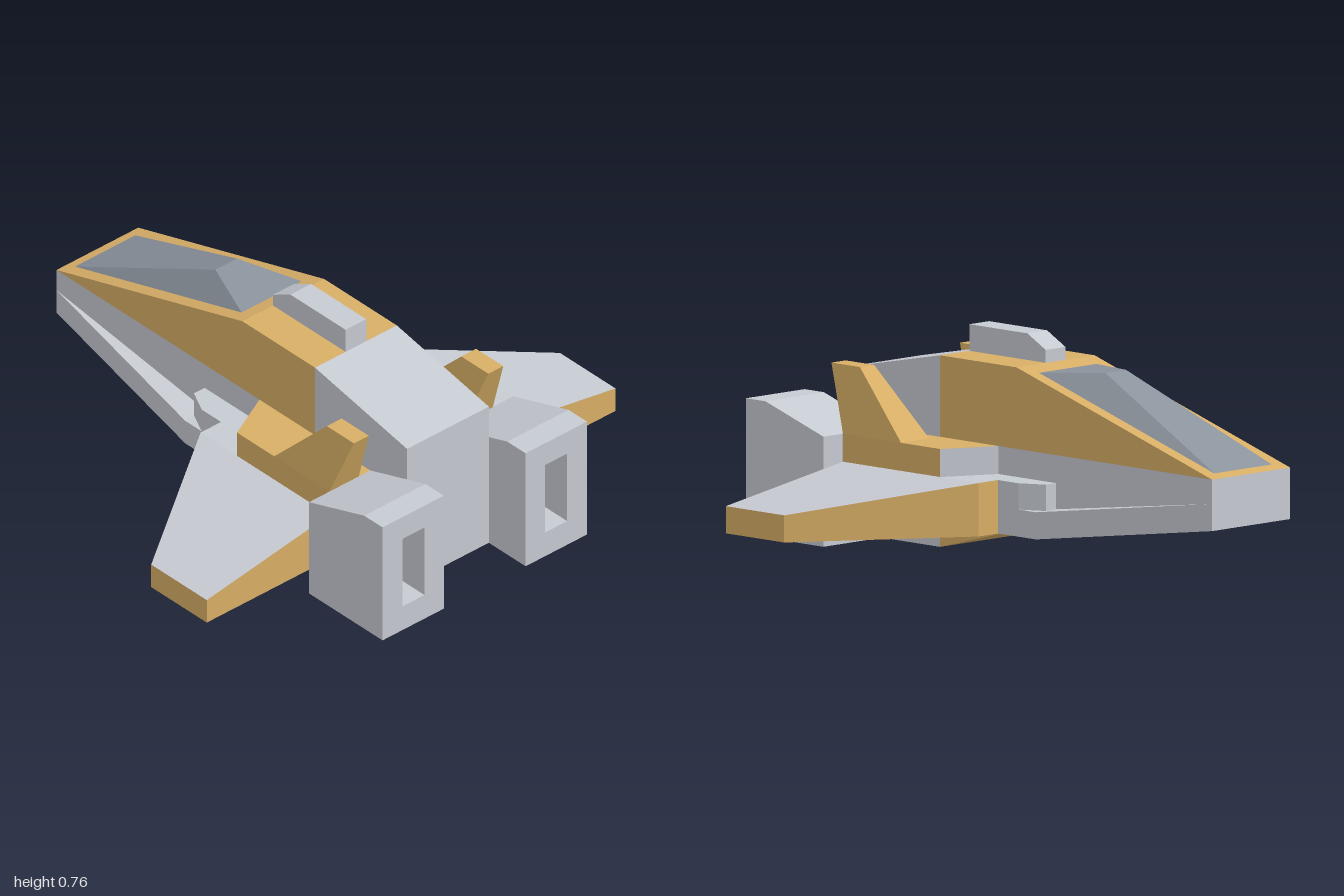
import * as THREE from 'three';

const material = (name, color) => {
  const m = new THREE.MeshStandardMaterial({ color });
  m.name = name;
  return m;
};

// Solid between two matching rings of [x, y, z] points; every face is turned outward.
// Faces are ordered: first cap, second cap, then the sides; colours may be one material or one per face.
function solid(name, ringA, ringB, colours) {
  const n = ringA.length;
  const a = ringA.map(p => new THREE.Vector3(...p));
  const b = ringB.map(p => new THREE.Vector3(...p));
  const centre = new THREE.Vector3();
  [...a, ...b].forEach(p => centre.addScaledVector(p, 1 / (2 * n)));
  const faces = [a, b];
  for (let i = 0; i < n; i++) {
    const j = (i + 1) % n;
    faces.push([a[i], a[j], b[j], b[i]]);
  }
  const geometry = new THREE.BufferGeometry();
  const points = [];
  const normal = new THREE.Vector3();
  faces.forEach((face, f) => {
    const start = points.length;
    for (let i = 1; i < face.length - 1; i++) {
      const t = [face[0], face[i], face[i + 1]];
      normal.crossVectors(t[1].clone().sub(t[0]), t[2].clone().sub(t[0]));
      if (normal.length() < 1e-9) continue;
      if (normal.dot(t[0].clone().sub(centre)) < 0) t.reverse();
      points.push(...t);
    }
    geometry.addGroup(start, points.length - start, f);
  });
  geometry.setFromPoints(points);
  geometry.computeVertexNormals();
  if (!Array.isArray(colours)) geometry.clearGroups();
  const mesh = new THREE.Mesh(geometry, colours);
  mesh.name = name;
  return mesh;
}

// Side profile of [z, y] points stretched from x0 to x1
const prism = (name, x0, x1, profile, colours) => solid(name,
  profile.map(([z, y]) => [x0, y, z]), profile.map(([z, y]) => [x1, y, z]), colours);

export function createModel() {
  const grey = material('hull grey', 0xc6cad1);
  const tan = material('panel tan', 0xd8ae66);
  const glass = material('canopy grey', 0x8b939d);
  const model = new THREE.Group();
  model.name = 'spacecraft';

  // Central fuselage
  const W = 0.19;
  const body = new THREE.Group();
  body.name = 'fuselage';
  body.add(
    prism('lowerNose', -W, W, [[-1, 0.205], [-1, 0.385], [-0.04, 0.385], [-0.04, 0.1], [-0.23, 0.1]], grey),
    prism('upperHull', -W, W, [[-1, 0.385], [-0.04, 0.67], [0.335, 0.67], [0.335, 0.385]], tan),
    prism('middleHull', -W, W, [[-0.04, 0.1], [-0.04, 0.385], [0.335, 0.385], [0.335, 0.1]], grey),
    prism('keel', -W, W, [[-0.04, 0.1], [0.335, 0.1], [0.335, 0]], tan),
    prism('rearHull', -W, W, [[0.335, 0], [0.335, 0.67], [0.81, 0.575], [0.81, 0]], grey),
    prism('dorsalBlock', -0.048, 0.048,
      [[0.335, 0.67], [0.335, 0.763], [0.05, 0.763], [-0.04, 0.715], [-0.04, 0.67]], grey)
  );
  model.add(body);

  // Faceted canopy, rising from the sloped deck to a short ridge
  const deckY = z => 0.385 + (z + 1) * 0.285 / 0.96;
  const ridge = x => [x, 0.668, -0.335];
  model.add(solid('canopy',
    [[-0.14, deckY(-0.96), -0.96], [0.14, deckY(-0.96), -0.96], [0.14, deckY(-0.1), -0.1], [-0.14, deckY(-0.1), -0.1]],
    [ridge(-0.05), ridge(0.05), ridge(0.05), ridge(-0.05)], glass));

  // Mirrored parts
  for (const [side, s] of [['left', 1], ['right', -1]]) {
    const half = new THREE.Group();
    half.name = side + 'Side';
    const flip = ring => ring.map(([x, y, z]) => [s * x, y, z]);
    const slab = (name, plan, y0, y1, colours) => half.add(solid(name,
      flip(plan.map(([x, z]) => [x, y0, z])), flip(plan.map(([x, z]) => [x, y1, z])), colours));

    // Tapered ledge along the nose and the chamfered block on it
    const ledge = [[0.19, 0.1, -0.23], [0.19, 0.205, -1], [0.285, 0.1, -0.23], [0.285, 0.1, -0.04], [0.19, 0.1, -0.04]];
    half.add(solid('noseLedge', flip(ledge), flip(ledge.map(([x, y, z]) => [x, y + 0.095, z])), grey));
    slab('cheekBlock', [[0.19, -0.235], [0.24, -0.235], [0.285, -0.145], [0.285, -0.04], [0.19, -0.04]], 0.195, 0.287, grey);

    // Wing: flat root and thinning outer panel, with tan edges
    const edged = [grey, grey, tan, tan, tan, tan];
    slab('wingRoot', [[0.19, -0.045], [0.38, -0.045], [0.38, 0.62], [0.19, 0.62]], 0.1, 0.287, edged);
    const panel = [[0.38, 0.287, -0.045], [0.95, 0.195, 0.333], [0.95, 0.195, 0.62], [0.38, 0.287, 0.62]];
    half.add(solid('wingPanel', flip(panel.map(([x, , z]) => [x, 0.1, z])), flip(panel), edged));

    // Shoulder pad over the wing root
    slab('shoulderPad', [[0.19, 0.048], [0.38, 0.143], [0.38, 0.62], [0.19, 0.62]], 0.287, 0.385,
      [grey, tan, grey, tan, grey, tan]);

    // Raked fin
    half.add(solid('fin',
      flip([[0.243, 0.385, 0.335], [0.38, 0.385, 0.335], [0.38, 0.385, 0.62], [0.243, 0.385, 0.62]]),
      flip([[0.278, 0.62, 0.57], [0.347, 0.62, 0.57], [0.347, 0.62, 0.71], [0.278, 0.62, 0.71]]), tan));

    // Engine block around an open slot
    const engine = new THREE.Group();
    engine.name = 'engine';
    const wall = [[0.62, 0], [1, 0], [1, 0.477], [0.905, 0.477], [0.62, 0.385]];
    engine.add(
      prism('innerWall', s * 0.19, s * 0.28, wall, grey),
      prism('outerWall', s * 0.383, s * 0.475, wall, grey),
      prism('floor', s * 0.28, s * 0.383, [[0.62, 0], [1, 0], [1, 0.1], [0.62, 0.1]], grey),
      prism('roof', s * 0.28, s * 0.383, [[0.62, 0.385], [1, 0.385], [1, 0.477], [0.905, 0.477]], grey)
    );
    half.add(engine);
    model.add(half);
  }
  return model;
}
